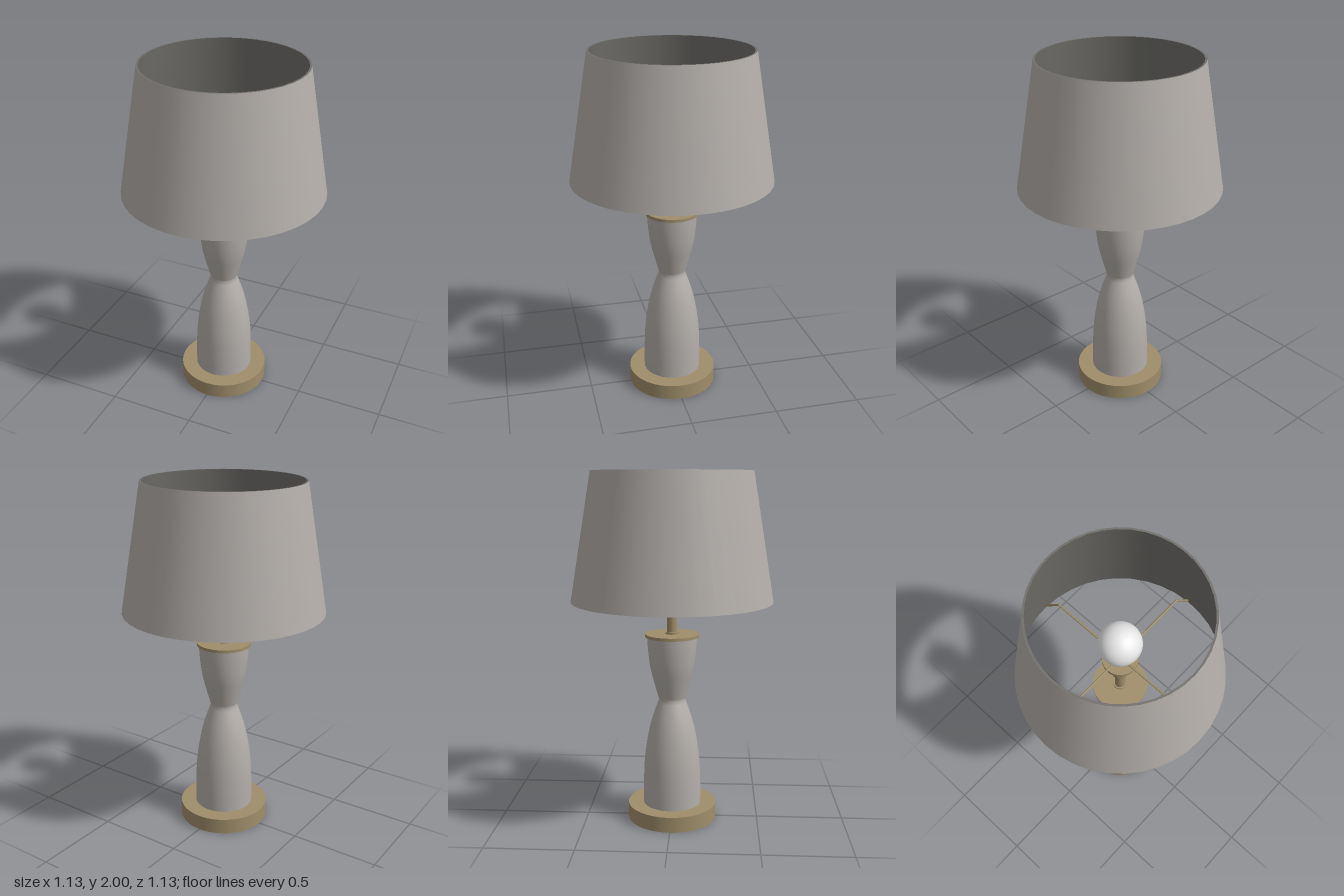
import * as THREE from 'three';

const material = (name, color) => {
  const m = new THREE.MeshStandardMaterial({ color });
  m.name = name;
  return m;
};

export function createModel() {
  const grey = material('warm grey', 0xb3aeaa);
  const lining = material('shade lining', 0x71706c);
  const brass = material('aged brass', 0x9f8e6a);
  const white = material('bulb white', 0xf2f2f2);

  const lamp = new THREE.Group();
  lamp.name = 'tableLamp';

  const add = (name, geometry, mat, parent = lamp) => {
    const mesh = new THREE.Mesh(geometry, mat);
    mesh.name = name;
    parent.add(mesh);
    return mesh;
  };
  const vectors = (pts) => pts.map(([r, y]) => new THREE.Vector2(r, y));
  const lathe = (name, pts, mat, segments = 40) =>
    add(name, new THREE.LatheGeometry(vectors(pts), segments), mat);
  const disc = (name, r, y0, y1, segments = 40) =>
    add(name, new THREE.CylinderGeometry(r, r, y1 - y0, segments), brass)
      .position.set(0, (y0 + y1) / 2, 0);
  const smooth = (pts, n) =>
    new THREE.SplineCurve(vectors(pts)).getPoints(n).map((p) => [p.x, p.y]);

  // Foot and waisted body
  disc('base', 0.256, 0, 0.09, 48);
  const lower = smooth([[0.167, 0.09], [0.166, 0.22], [0.159, 0.36],
    [0.139, 0.5], [0.112, 0.61], [0.075, 0.715]], 20);
  const upper = smooth([[0.075, 0.715], [0.099, 0.8], [0.124, 0.9],
    [0.137, 1.0], [0.142, 1.085]], 16);
  lathe('body', [...lower, ...upper.slice(1)], grey);
  disc('bodyCap', 0.153, 1.08, 1.097);

  // Stem and stepped socket
  disc('stemCollar', 0.038, 1.097, 1.108);
  disc('stem', 0.029, 1.1, 1.275);
  disc('stemFlange', 0.042, 1.27, 1.288);
  disc('lowerSocket', 0.048, 1.288, 1.385);
  disc('upperSocket', 0.066, 1.385, 1.445);
  disc('socketPlate', 0.095, 1.445, 1.468);

  // Pear-shaped bulb
  const bulb = [[0.04, 1.465], [0.045, 1.5], [0.07, 1.555]];
  for (let i = 0; i <= 14; i++) {
    const a = -0.55 + (i / 14) * (Math.PI / 2 + 0.55);
    bulb.push([Math.max(0, 0.113 * Math.cos(a)), 1.65 + 0.113 * Math.sin(a)]);
  }
  lathe('bulb', bulb, white, 32);

  // Four bent wires carrying the shade
  const rod = (a, b, parent) => {
    const d = b.clone().sub(a);
    const mesh = add('wire', new THREE.CylinderGeometry(0.006, 0.006, d.length(), 8), brass, parent);
    mesh.position.copy(a).add(b).multiplyScalar(0.5);
    mesh.quaternion.setFromUnitVectors(new THREE.Vector3(0, 1, 0), d.normalize());
  };
  for (let i = 0; i < 4; i++) {
    const arm = new THREE.Group();
    arm.name = 'shadeArm';
    const bend = new THREE.Vector3(0.438, 1.478, 0);
    rod(new THREE.Vector3(0, 1.478, 0), bend, arm);
    rod(bend, new THREE.Vector3(0.55, 1.315, 0), arm);
    add('bendJoint', new THREE.SphereGeometry(0.006, 8, 6), brass, arm).position.copy(bend);
    arm.rotation.y = (i * Math.PI) / 2;
    lamp.add(arm);
  }

  // Tapered shade: outer skin, lining and the two rims
  const [rb, rt, yb, yt, t] = [0.567, 0.446, 1.286, 2, 0.011];
  lathe('shadeOuter', [[rb, yb], [rt, yt]], grey);
  lathe('shadeLining', [[rt - t, yt], [rb - t, yb]], lining);
  lathe('shadeTopRim', [[rt, yt], [rt - t, yt]], lining);
  lathe('shadeBottomRim', [[rb - t, yb], [rb, yb]], lining);

  return lamp;
}
